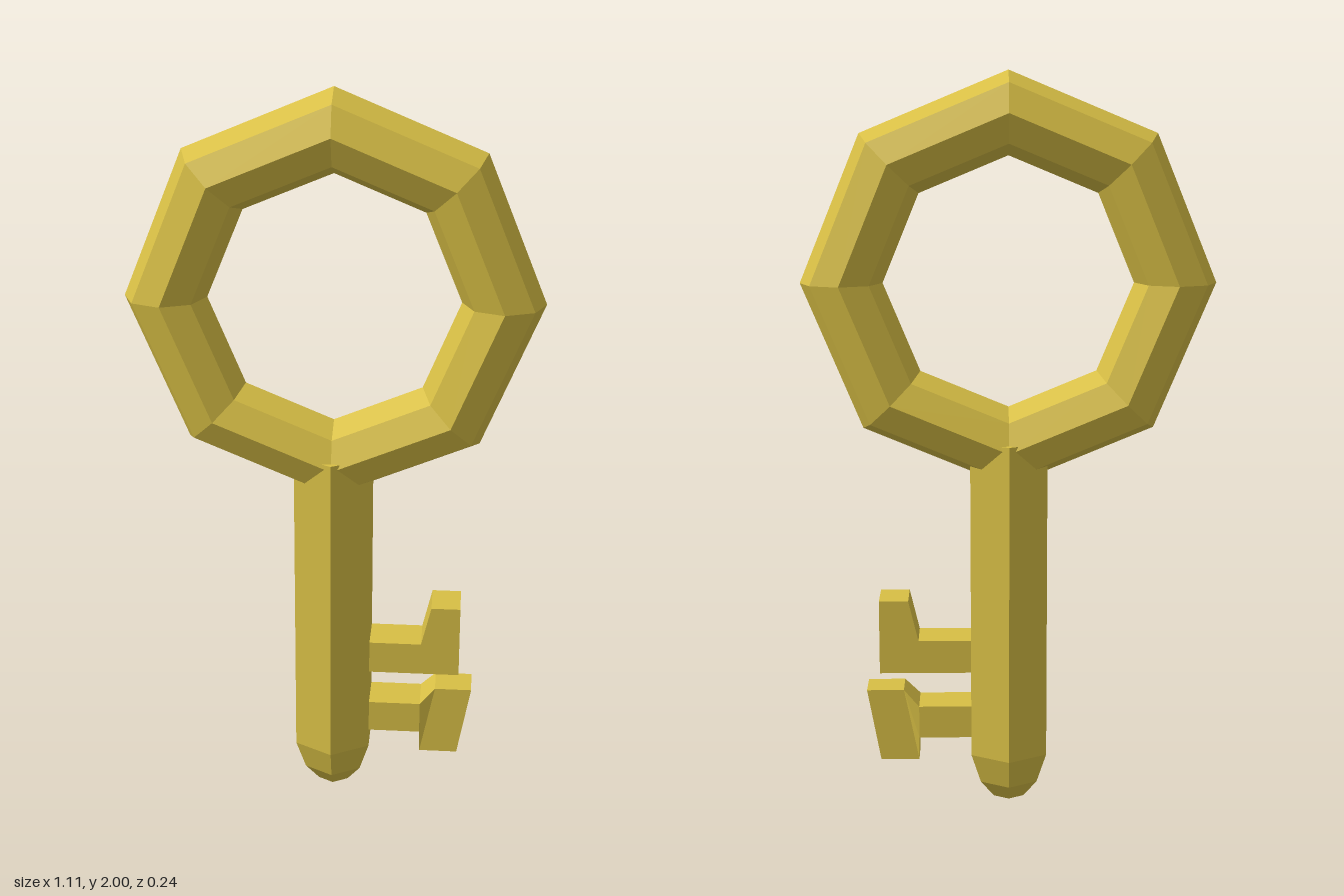
import * as THREE from 'three';

const gold = new THREE.MeshStandardMaterial({ color: 0xd8bf45, flatShading: true });

function addPart(group, name, geometry) {
  const mesh = new THREE.Mesh(geometry, gold);
  mesh.name = name;
  group.add(mesh);
  return mesh;
}

// Solid lofted along x; each section is [bottomX, bottomY, topX, topY, halfDepth]
function loft(sections) {
  const rings = sections.map(([bx, by, tx, ty, z]) => [
    [bx, by, z], [bx, by, -z], [tx, ty, -z], [tx, ty, z],
  ]);
  const pos = [];
  const quad = (a, b, c, d) => pos.push(...a, ...b, ...c, ...a, ...c, ...d);
  for (let i = 0; i < rings.length - 1; i++) {
    for (let k = 0; k < 4; k++) {
      const j = (k + 1) % 4;
      quad(rings[i][k], rings[i][j], rings[i + 1][j], rings[i + 1][k]);
    }
  }
  const [a, b, c, d] = rings[0];
  quad(d, c, b, a);
  quad(...rings[rings.length - 1]);
  const geometry = new THREE.BufferGeometry();
  geometry.setAttribute('position', new THREE.Float32BufferAttribute(pos, 3));
  geometry.computeVertexNormals();
  return geometry;
}

export function createModel() {
  const key = new THREE.Group();
  key.name = 'key';

  // Eight-sided ring handle
  addPart(key, 'handleRing', new THREE.TorusGeometry(0.445, 0.11, 8, 8)).position.y = 1.445;

  // Hexagonal shaft with a rounded-off tip
  const profile = [[0, 0], [0.048, 0], [0.09, 0.05], [0.12, 0.135], [0.12, 1.02], [0, 1.02]];
  addPart(key, 'shaft', new THREE.LatheGeometry(
    profile.map(([r, y]) => new THREE.Vector2(r, y)), 6));

  // Upper tooth: arm with an upturned end
  addPart(key, 'upperTooth', loft([
    [0.09, 0.375, 0.09, 0.467, 0.058],
    [0.248, 0.375, 0.248, 0.467, 0.058],
    [0.275, 0.375, 0.275, 0.58, 0.058],
    [0.355, 0.375, 0.355, 0.58, 0.058],
  ]));

  // Lower tooth: arm with a slanted, slightly thinner end block
  addPart(key, 'lowerTooth', loft([
    [0.09, 0.187, 0.09, 0.277, 0.058],
    [0.248, 0.187, 0.248, 0.277, 0.058],
    [0.249, 0.12, 0.29, 0.322, 0.047],
    [0.355, 0.12, 0.392, 0.322, 0.047],
  ]));

  return key;
}
